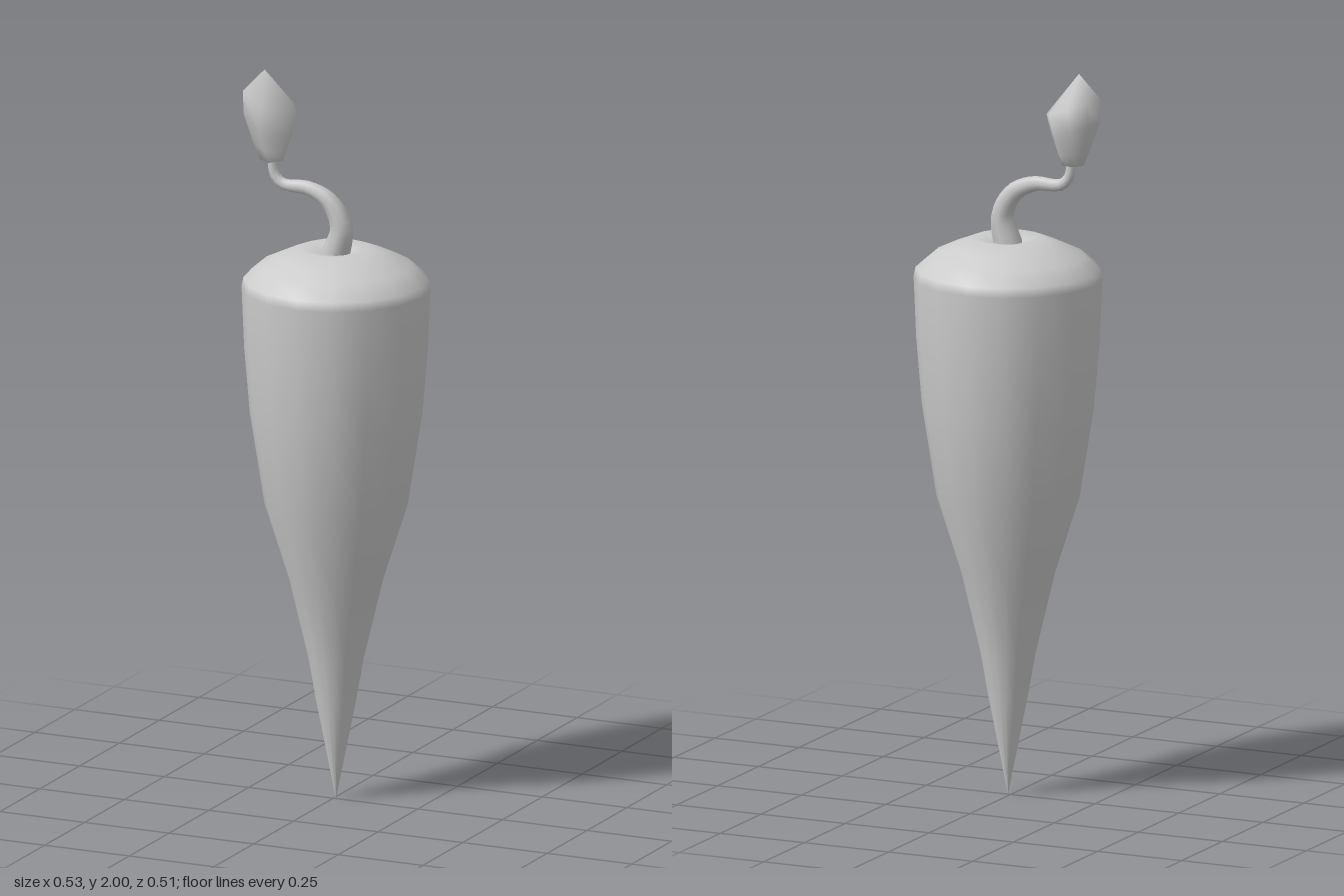
import * as THREE from 'three';
import { mergeVertices } from 'three/addons/utils/BufferGeometryUtils.js';

const material = new THREE.MeshStandardMaterial({ color: 0xcccccc });

function part(name, geometry) {
  const mesh = new THREE.Mesh(geometry, material);
  mesh.name = name;
  return mesh;
}

// Tapering root with a rounded shoulder and a small dimple for the stem
function rootGeometry() {
  const profile = [
    [0, 0], [0.055, 0.28], [0.074, 0.39], [0.126, 0.61], [0.192, 0.82], [0.231, 1.07],
    [0.246, 1.25], [0.253, 1.42], [0.248, 1.445], [0.205, 1.482], [0.15, 1.508],
    [0.095, 1.53], [0.045, 1.52], [0, 1.505],
  ].map(([r, y]) => new THREE.Vector2(r, y));
  return new THREE.LatheGeometry(profile, 16).translate(0.008, 0, 0);
}

// Curved stem: a unit tube whose rings are shrunk to a taper
function stemGeometry() {
  const path = new THREE.CatmullRomCurve3([
    [0.005, 1.5], [0.024, 1.59], [-0.01, 1.655], [-0.07, 1.685],
    [-0.15, 1.69], [-0.174, 1.715], [-0.18, 1.78],
  ].map(([x, y]) => new THREE.Vector3(x, y, 0)));
  const steps = 24, sides = 8;
  const geometry = new THREE.TubeGeometry(path, steps, 1, sides);
  const pos = geometry.attributes.position;
  const v = new THREE.Vector3();
  for (let i = 0; i <= steps; i++) {
    const t = i / steps;
    const centre = path.getPointAt(t);
    const radius = 0.013 + 0.029 * Math.pow(1 - t, 1.6);
    for (let j = 0; j <= sides; j++) {
      const k = i * (sides + 1) + j;
      v.fromBufferAttribute(pos, k).sub(centre).multiplyScalar(radius).add(centre);
      pos.setXYZ(k, v.x, v.y, v.z);
    }
  }
  return geometry;
}

// Irregular six-sided bud: scaled, shifted and tilted copies of one outline
function budGeometry() {
  const outline = [[0.01, 0.07], [0.075, -0.018], [0.045, -0.065],
    [-0.015, -0.075], [-0.06, -0.05], [-0.075, 0.005]];
  // scale, height, centre x, tilt
  const rings = [
    [0, 1.745, -0.185, 0], [0.42, 1.75, -0.185, 0], [0.6, 1.785, -0.19, -0.2],
    [0.88, 1.845, -0.197, -0.4], [1, 1.91, -0.19, -0.33], [0, 2, -0.203, 0],
  ];
  const sides = outline.length;
  const geometry = new THREE.LatheGeometry(rings.map(([s, y]) => new THREE.Vector2(s, y)), sides);
  const pos = geometry.attributes.position;
  for (let i = 0; i <= sides; i++) {
    const [x, z] = outline[i % sides];
    rings.forEach(([s, y, cx, tilt], j) => {
      pos.setXYZ(i * rings.length + j, cx + s * x, y + tilt * s * x, s * z);
    });
  }
  geometry.deleteAttribute('normal');
  geometry.deleteAttribute('uv');
  const merged = mergeVertices(geometry);
  merged.computeVertexNormals();
  return merged;
}

export function createModel() {
  const group = new THREE.Group();
  group.name = 'rootVegetable';
  group.add(
    part('root', rootGeometry()),
    part('stem', stemGeometry()),
    part('bud', budGeometry()),
  );
  return group;
}
